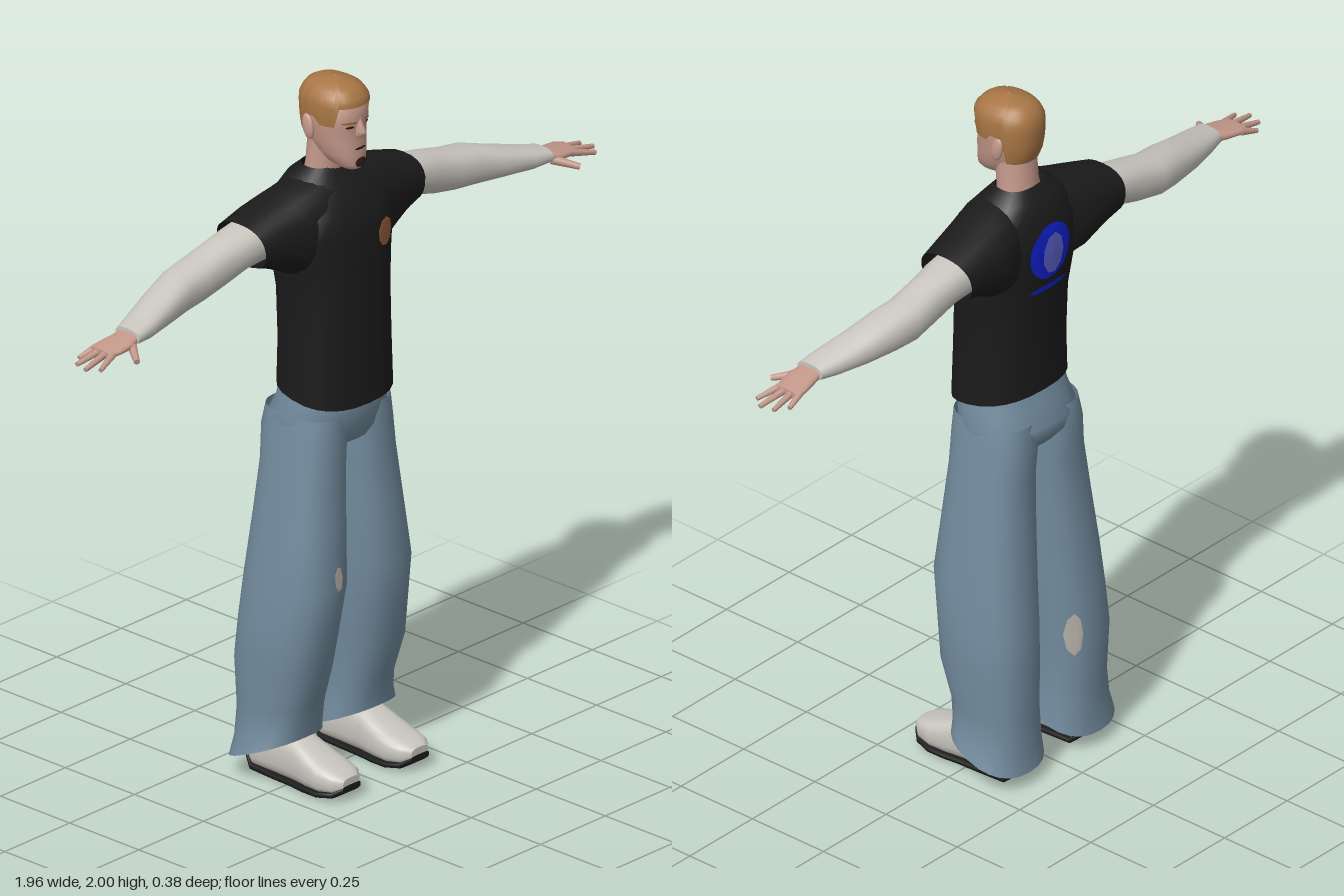
import * as THREE from 'three';

const mat = (name, color) => {
  const m = new THREE.MeshStandardMaterial({ color, side: THREE.DoubleSide });
  m.name = name;
  return m;
};

// rounded power of a sine or cosine, for boxier ovals
const pw = (v, p) => Math.sign(v) * Math.abs(v) ** p;

// oval cross-section at t along an axis, spanning a0..a1 and b0..b1
// (y: a = x, b = z; x: a = z, b = y; z: a = x, b = y); tilt leans it along b
function ring(axis, t, a0, a1, b0, b1, p = 0.85, tilt = 0, n = 24) {
  return Array.from({ length: n }, (_, i) => {
    const th = (i / n) * Math.PI * 2;
    const a = (a0 + a1) / 2 + ((a1 - a0) / 2) * pw(Math.cos(th), p);
    const db = ((b1 - b0) / 2) * pw(Math.sin(th), p);
    const b = (b0 + b1) / 2 + db, c = t + tilt * db;
    return axis === 'y' ? [a, c, b] : axis === 'x' ? [c, b, a] : [a, b, c];
  });
}

// smooth skin over rings, wound outward; s = -1 mirrors it in x
function loft(rings, { s = 1, caps = false } = {}) {
  const n = rings[0].length, idx = [];
  const pts = rings.flat().map(([x, y, z]) => new THREE.Vector3(x * s, y, z));
  for (let j = 0; j < rings.length - 1; j++) for (let i = 0; i < n; i++) {
    const a = j * n + i, b = j * n + ((i + 1) % n);
    idx.push(a, b, a + n, b, b + n, a + n);
  }
  if (caps) [0, rings.length - 1].forEach((j) => {
    const base = pts.length;
    const mid = new THREE.Vector3();
    for (let i = 0; i < n; i++) { pts.push(pts[j * n + i].clone()); mid.add(pts[j * n + i]); }
    pts.push(mid.divideScalar(n));
    for (let i = 0; i < n; i++) {
      const q = (i + 1) % n;
      idx.push(base + n, base + (j ? i : q), base + (j ? q : i));
    }
  });
  const c = new THREE.Vector3();
  pts.forEach((p) => c.addScaledVector(p, 1 / pts.length));
  const rel = pts.map((p) => p.clone().sub(c));
  let vol = 0;
  for (let k = 0; k < idx.length; k += 3) {
    vol += rel[idx[k]].dot(rel[idx[k + 1]].clone().cross(rel[idx[k + 2]]));
  }
  if (vol < 0) idx.reverse();
  const g = new THREE.BufferGeometry().setFromPoints(pts);
  g.setIndex(idx);
  g.computeVertexNormals();
  return g;
}

// thin oval patch laid on the front (dir 1) or back (dir -1) of target meshes
function decal(targets, cx, cy, rx, ry, { dir = 1, lift = 0.003, sides = 24 } = {}) {
  const g = new THREE.RingGeometry(0.001, 1, sides, 5);
  const pos = g.attributes.position, caster = new THREE.Raycaster();
  for (let i = 0; i < pos.count; i++) {
    const x = cx + pos.getX(i) * rx * dir, y = cy + pos.getY(i) * ry;
    caster.set(new THREE.Vector3(x, y, dir), new THREE.Vector3(0, 0, -dir));
    const hit = caster.intersectObjects(targets)[0];
    pos.setXYZ(i, x, y, (hit ? hit.point.z : 0) + lift * dir);
  }
  g.computeVertexNormals();
  return g;
}

// linear lookup in rows of [y, ...values]
function lookup(rows, y) {
  let k = 0;
  while (k < rows.length - 2 && rows[k + 1][0] < y) k++;
  const [p, q] = [rows[k], rows[k + 1]];
  const t = THREE.MathUtils.clamp((y - p[0]) / (q[0] - p[0]), 0, 1);
  return p.map((v, i) => v + (q[i] - v) * t);
}

export function createModel() {
  const model = new THREE.Group();
  const skin = mat('skin', 0xc4988a), hairMat = mat('hair', 0xa87645);
  const black = mat('black', 0x1b1b1b), cloth = mat('pale cloth', 0xc9c6bf);
  const denim = mat('denim', 0x728b9d), blue = mat('print blue', 0x1020d0);
  const pale = mat('print light blue', 0x5a5fc4), badge = mat('badge brown', 0x96603a);
  const worn = mat('worn denim', 0xb5b0a8), beard = mat('dark beard', 0x2c1d18);
  const add = (name, geo, m) => {
    const mesh = new THREE.Mesh(geo, m);
    mesh.name = name;
    model.add(mesh);
    return mesh;
  };
  const upright = (rows, p) => rows.map(([y, rx, zf, zb, tilt]) => ring('y', y, -rx, rx, zb, zf, p, tilt));

  // shirt body
  const shirt = [add('shirtBody', loft(upright([
    [1.112, 0.165, 0.132, -0.12, -0.19], [1.25, 0.162, 0.127, -0.117, -0.05], [1.4, 0.16, 0.125, -0.125],
    [1.5, 0.172, 0.121, -0.138], [1.58, 0.185, 0.118, -0.142], [1.64, 0.18, 0.108, -0.14],
    [1.69, 0.145, 0.07, -0.125], [1.72, 0.11, 0.045, -0.11], [1.747, 0.07, 0.022, -0.08]], 0.82)), black)];

  // trousers: hips
  add('hips', loft(upright([
    [0.97, 0.145, 0.085, -0.12], [1.0, 0.168, 0.1, -0.143], [1.04, 0.171, 0.107, -0.149],
    [1.09, 0.161, 0.114, -0.124], [1.16, 0.15, 0.1, -0.105]])), denim);

  const legs = {};
  for (const s of [1, -1]) {
    const side = s > 0 ? 'left' : 'right';

    // sleeve, arm
    shirt.push(add(side + 'ShirtSleeve', loft([
      [0.05, -0.1, 0.08, 1.5, 1.73], [0.11, -0.13, 0.085, 1.46, 1.722], [0.17, -0.138, 0.075, 1.475, 1.702],
      [0.24, -0.136, 0.058, 1.51, 1.682], [0.307, -0.132, 0.045, 1.53, 1.657, 0.85, 0.17]]
      .map((r) => ring('x', ...r)), { s }), black));
    add(side + 'Arm', loft([
      [0.24, -0.118, 0.022, 1.54, 1.658], [0.33, -0.114, 0.016, 1.532, 1.644], [0.41, -0.11, 0.008, 1.506, 1.628],
      [0.49, -0.115, 0.01, 1.491, 1.606], [0.56, -0.105, 0.015, 1.486, 1.598], [0.65, -0.085, 0.03, 1.483, 1.57],
      [0.74, -0.058, 0.045, 1.482, 1.545], [0.8, -0.038, 0.048, 1.486, 1.53]]
      .map((r) => ring('x', ...r)), { s, caps: true }), cloth);

    // hand with fingers
    add(side + 'Palm', loft([
      [0.785, -0.028, 0.038, 1.49, 1.522], [0.83, -0.036, 0.05, 1.483, 1.514],
      [0.87, -0.042, 0.046, 1.48, 1.506], [0.9, -0.038, 0.038, 1.48, 1.5]]
      .map((r) => ring('x', ...r)), { s, caps: true }), skin);
    const finger = (name, a, b, r) => {
      const from = new THREE.Vector3(a[0] * s, a[1], a[2]), d = new THREE.Vector3(b[0] * s, b[1], b[2]).sub(from);
      const g = new THREE.CylinderGeometry(r * 0.6, r, d.length(), 8);
      g.applyQuaternion(new THREE.Quaternion().setFromUnitVectors(new THREE.Vector3(0, 1, 0), d.clone().normalize()));
      g.translate(...from.addScaledVector(d, 0.5).toArray());
      add(side + name, g, skin);
    };
    [[-0.032, 0.935, -0.043], [-0.011, 0.97, -0.018], [0.011, 0.98, 0.022], [0.031, 0.955, 0.054]].forEach(
      ([z0, x, z], i) => finger('Finger' + (i + 1), [0.88, 1.491, z0], [x, 1.474, z], 0.011));
    finger('Thumb', [0.81, 1.495, 0.03], [0.855, 1.477, 0.092], 0.014);

    // trouser leg: height, inner and outer x, front and back z, tilt
    legs[side] = add(side + 'TrouserLeg', loft([
      [1.06, 0.01, 0.165, 0.1, -0.135], [1.0, 0.001, 0.176, 0.103, -0.146], [0.9, 0.003, 0.19, 0.102, -0.14],
      [0.75, 0.007, 0.212, 0.112, -0.15], [0.58, 0.012, 0.236, 0.125, -0.165], [0.45, 0.02, 0.244, 0.105, -0.178],
      [0.34, 0.028, 0.25, 0.088, -0.185], [0.21, 0.033, 0.236, 0.055, -0.182, 0.15],
      [0.14, 0.026, 0.246, 0.042, -0.182, 0.3], [0.09, 0.02, 0.262, 0.038, -0.19, 0.42]]
      .map(([y, x0, x1, zf, zb, tilt]) => ring('y', y, x0, x1, zb, zf, 0.85, tilt)), { s }), denim);

    // shoe and sole: z, half width, bottom, top
    const last = [[-0.155, 0.036, 0.03, 0.08], [-0.13, 0.05, 0.008, 0.11], [-0.05, 0.053, 0.006, 0.14],
      [0.02, 0.056, 0.006, 0.135], [0.07, 0.062, 0.006, 0.112], [0.12, 0.065, 0.008, 0.092],
      [0.165, 0.055, 0.016, 0.08], [0.19, 0.032, 0.032, 0.066]];
    add(side + 'Shoe', loft(last.map(([z, w, y0, y1]) => ring('z', z, 0.132 - w, 0.132 + w, y0, y1, 0.7)),
      { s, caps: true }), cloth);
    add(side + 'Sole', loft(last.map(([z, w, y0]) =>
      ring('z', z * 1.005, 0.13 - w, 0.134 + w, y0 - 0.006, y0 + 0.014, 0.5)), { s, caps: true }), black);
  }

  // worn patches on the trousers
  add('kneePatch', decal([legs.right], -0.11, 0.61, 0.016, 0.036, { sides: 7 }), worn);
  add('calfPatch', decal([legs.right], -0.068, 0.36, 0.02, 0.065, { dir: -1, sides: 8 }), worn);

  // shirt prints
  add('chestBadge', decal(shirt, 0.083, 1.553, 0.034, 0.04, { sides: 9 }), badge);
  add('backDisc', decal(shirt, 0, 1.572, 0.078, 0.082, { dir: -1 }), blue);
  add('backFigure', decal(shirt, -0.005, 1.565, 0.04, 0.062, { dir: -1, lift: 0.006, sides: 9 }), pale);
  add('backStripe', decal(shirt, 0, 1.462, 0.075, 0.009, { dir: -1, sides: 8 }), blue);

  // neck and head
  add('neck', loft(upright([[1.69, 0.07, 0.02, -0.085], [1.75, 0.06, 0.03, -0.076], [1.83, 0.058, 0.04, -0.07]], 1)), skin);
  const head = add('head', loft(upright([
    [1.757, 0.026, 0.094, 0.03], [1.772, 0.043, 0.102, -0.01], [1.8, 0.058, 0.099, -0.045],
    [1.835, 0.067, 0.097, -0.07], [1.875, 0.073, 0.094, -0.084], [1.9, 0.076, 0.1, -0.088],
    [1.945, 0.074, 0.093, -0.086], [1.975, 0.05, 0.06, -0.065]], 0.88), { caps: true }), skin);
  add('nose', loft([[1.905, 0.007, 0.1], [1.868, 0.011, 0.118], [1.858, 0.014, 0.115], [1.848, 0.01, 0.1]]
    .map(([y, w, z]) => ring('y', y, -w, w, 0.075, z, 1, 0, 10)), { caps: true }), skin);
  for (const s of [1, -1]) {
    const ear = new THREE.SphereGeometry(1, 12, 10).scale(0.01, 0.036, 0.019);
    add(s > 0 ? 'leftEar' : 'rightEar', ear.rotateX(-0.2).translate(0.077 * s, 1.87, -0.018), skin);
    add('brow', decal([head], 0.034 * s, 1.896, 0.02, 0.004), hairMat);
    add('eye', decal([head], 0.032 * s, 1.883, 0.011, 0.004), beard);
  }
  add('mouth', decal([head], 0, 1.818, 0.02, 0.0035), beard);
  add('goatee', decal([head], 0, 1.778, 0.02, 0.014), beard);

  // hair cap with a hairline dropping at the temples and nape
  const cap = [[1.82, 0.066, 0.08, -0.074], [1.86, 0.076, 0.095, -0.09], [1.92, 0.081, 0.105, -0.095],
    [1.955, 0.079, 0.102, -0.092], [1.98, 0.062, 0.082, -0.075], [1.993, 0.038, 0.05, -0.05], [2, 0.003, 0.012, 0.006]];
  const hairline = (f) => (f > 0.6 ? 1.94 : f > 0.02 ? 1.885 : f > -0.42 ? 1.905 : 1.825);
  const n = 40;
  add('hair', loft(Array.from({ length: 11 }, (_, j) => Array.from({ length: n }, (_, i) => {
    const th = (i / n) * Math.PI * 2, low = hairline(Math.sin(th));
    const y = low + (2 - low) * Math.sin((j / 10) * Math.PI / 2);
    const [, rx, zf, zb] = lookup(cap, y);
    return [rx * pw(Math.cos(th), 0.88), y, (zf + zb) / 2 + ((zf - zb) / 2) * pw(Math.sin(th), 0.88)];
  }))), hairMat);

  return model;
}
